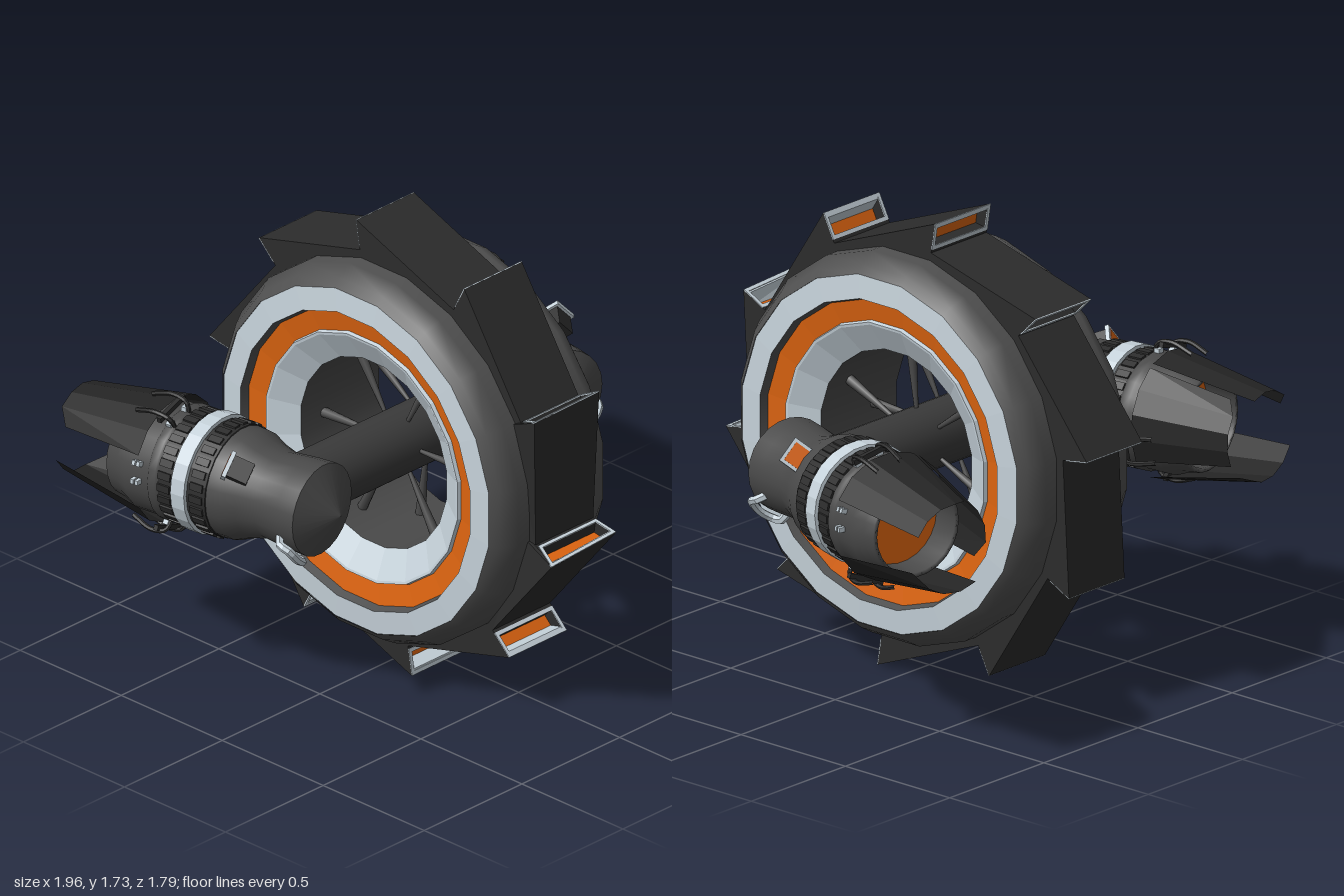
import * as THREE from 'three';

const material = (name, color, side = THREE.FrontSide) => {
  const m = new THREE.MeshStandardMaterial({ color, side });
  m.name = name;
  return m;
};

export function createModel() {
  const tyreGrey = material('tyre grey', 0x505050);
  const bodyGrey = material('body grey', 0x4a4a4a, THREE.DoubleSide);
  const black = material('armour black', 0x2c2c2c);
  const petalBlack = material('petal black', 0x242424, THREE.DoubleSide);
  const white = material('pale grey', 0xc6d2da);
  const orange = material('orange', 0xdc6410);
  black.flatShading = petalBlack.flatShading = white.flatShading = orange.flatShading = true;

  const model = new THREE.Group();
  const add = (parent, name, geometry, mat) => {
    const mesh = new THREE.Mesh(geometry, mat);
    mesh.name = name;
    parent.add(mesh);
    return mesh;
  };
  const group = (parent, name) => {
    const g = new THREE.Group();
    g.name = name;
    parent.add(g);
    return g;
  };
  const lathe = (points, segments) =>
    new THREE.LatheGeometry(points.map(([r, h]) => new THREE.Vector2(r, h)), segments);

  // ---- wheel: profiles are [radius, x], turned about the x axis ----
  const wheel = group(model, 'wheel');
  wheel.position.set(-0.025, 0.87, 0);
  const ring = (name, points, mat) =>
    add(wheel, name, lathe(points, 20).rotateZ(-Math.PI / 2).rotateX(Math.PI / 20), mat);

  ring('tyre', [[0.665, -0.29], [0.695, -0.265], [0.73, -0.205], [0.73, 0.205],
    [0.695, 0.265], [0.665, 0.29]], tyreGrey);
  ring('hubTunnel', [[0.365, 0.2], [0.365, -0.2]], bodyGrey);
  const faceRings = [
    ['outerRing', [[0.665, 0.288], [0.575, 0.295]], white],
    ['grooveRing', [[0.575, 0.295], [0.565, 0.262]], tyreGrey],
    ['orangeRing', [[0.565, 0.262], [0.485, 0.248]], orange],
    ['innerRing', [[0.485, 0.248], [0.48, 0.262], [0.47, 0.26], [0.365, 0.2]], white],
  ];
  for (const s of [1, -1]) {
    for (const [name, points, mat] of faceRings) {
      const p = points.map(([r, x]) => [r, s * x]);
      ring(name, s > 0 ? p : p.reverse(), mat);
    }
    // spokes, thicker at the rim
    for (let i = 0; i < 6; i++) {
      const spoke = add(wheel, 'spoke',
        new THREE.CylinderGeometry(0.02, 0.007, 0.27, 8).translate(0, 0.235, 0), bodyGrey);
      spoke.rotation.x = THREE.MathUtils.degToRad((s > 0 ? 6 : 28) + 60 * i);
      spoke.position.x = s * 0.08;
    }
  }

  // ---- ratchet teeth around the tread: u is along the rim, v is the radius ----
  const WIDTH = 0.295;
  const slab = (points, w0, w1) => {
    const shape = new THREE.Shape(points.map(([u, v]) => new THREE.Vector2(u, v)));
    return new THREE.ExtrudeGeometry(shape, { depth: w1 - w0, bevelEnabled: false }).translate(0, 0, w0);
  };
  const box = (w, h, d, x, y, z) => new THREE.BoxGeometry(w, h, d).translate(x, y, z);
  const wedge = [[-0.447, 0.615], [-0.41, 0.56], [0, 0.7], [0, 0.875]];
  const notched = [[-0.447, 0.615], [-0.41, 0.56], [0, 0.7], [0, 0.785],
    [-0.05, 0.785], [-0.05, 0.83], [0, 0.86], [0, 0.875]];
  for (let i = 0; i < 10; i++) {
    const tooth = group(wheel, 'tooth');
    const a = THREE.MathUtils.degToRad(27 + 36 * i), c = Math.cos(a), s = Math.sin(a);
    tooth.quaternion.setFromRotationMatrix(new THREE.Matrix4().makeBasis(
      new THREE.Vector3(0, c, -s), new THREE.Vector3(0, s, c), new THREE.Vector3(1, 0, 0)));
    const h = WIDTH / 2, e = h - 0.014;
    const parts = [
      ['toothCore', slab(notched, -e, e), black],
      ['toothSide', slab(wedge, -h, -e), black],
      ['toothSide', slab(wedge, e, h), black],
      ['intakeBack', box(0.006, 0.045, 2 * e, -0.047, 0.807, 0), orange],
      ['intakeFloor', slab([[-0.045, 0.827], [0, 0.854], [0, 0.86], [-0.045, 0.833]], -e, e), white],
      ['intakeFrame', box(0.004, 0.015, WIDTH, 0.001, 0.8675, 0), white],
      ['intakeFrame', box(0.004, 0.015, WIDTH, 0.001, 0.78, 0), white],
      ['intakeFrame', box(0.004, 0.1, 0.014, 0.001, 0.825, e + 0.007), white],
      ['intakeFrame', box(0.004, 0.1, 0.014, 0.001, 0.825, -e - 0.007), white],
    ];
    for (const [name, geometry, mat] of parts) {
      // two teeth have one outer corner pulled sideways
      if (i === 0 || i === 9) {
        const p = geometry.attributes.position;
        for (let k = 0; k < p.count; k++)
          if (p.getY(k) > 0.85 && p.getZ(k) < -0.12)
            p.setXYZ(k, p.getX(k), p.getY(k) + 0.02, p.getZ(k) - 0.055);
        geometry.computeVertexNormals();
      }
      add(tooth, name, geometry, mat);
    }
  }

  // ---- axle ----
  add(model, 'axle', new THREE.CylinderGeometry(0.12, 0.12, 1.2, 24).rotateZ(Math.PI / 2)
    .translate(-0.04, 0.87, 0), material('axle grey', 0x3a3a3a));

  // ---- engine pods: profiles are [radius, distance to the rear] ----
  const buildPod = (side, x, yaw) => {
    const pod = group(model, side > 0 ? 'leftPod' : 'rightPod');
    pod.position.set(x, 0.87, 0);
    pod.rotation.y = -side * yaw;
    const turn = (name, points, mat) =>
      add(pod, name, lathe(points, 24).rotateX(-Math.PI / 2), mat);
    // point at an angle (0 = outboard, 90 = up), radius and distance to the rear
    const at = (deg, r, s) => {
      const a = THREE.MathUtils.degToRad(deg);
      return new THREE.Vector3(side * r * Math.cos(a), r * Math.sin(a), -s);
    };
    const place = (mesh, deg, r, s) => {
      mesh.position.copy(at(deg, r, s));
      mesh.rotation.z = Math.atan2(mesh.position.y, mesh.position.x);
      return mesh;
    };
    const rod = (name, points, r, mat) => add(pod, name,
      new THREE.TubeGeometry(new THREE.CatmullRomCurve3(points), 14, r, 6), mat);

    turn('noseCap', [[0, -0.26], [0.175, -0.175]], bodyGrey);
    turn('podBody', [[0.175, -0.175], [0.172, -0.1], [0.162, 0.01], [0.18, 0.08], [0.205, 0.14], [0.208, 0.2]], bodyGrey);
    turn('ribbedDrum', [[0.2, 0.185], [0.211, 0.19], [0.211, 0.405], [0.2, 0.41]], black);
    turn('whiteBand', [[0.205, 0.27], [0.224, 0.273], [0.224, 0.333], [0.205, 0.336]], white);
    turn('rearHousing', [[0.211, 0.4], [0.218, 0.41], [0.218, 0.44], [0.208, 0.45], [0.21, 0.55], [0.19, 0.6],
      [0.182, 0.65], [0.165, 0.65], [0.165, 0.5]], bodyGrey);
    add(pod, 'burner', new THREE.CircleGeometry(0.166, 24).rotateY(Math.PI).translate(0, 0, -0.53), orange);
    for (let i = 0; i < 28; i++)
      for (const s of [0.229, 0.372])
        place(add(pod, 'rib', new THREE.BoxGeometry(0.014, 0.028, 0.055), black), i * 360 / 28, 0.21, s);

    // petals with their hinges
    for (const [deg, half, end] of [[75, 48, 0.9], [195, 45, 0.85], [-70, 45, 0.9]]) {
      const len = end - 0.48;
      const mid = side > 0 ? deg : 180 - deg;
      // the cylinder's own angle starts a quarter turn before the pod's angle
      const start = THREE.MathUtils.degToRad(mid + 90 - half);
      const petal = new THREE.CylinderGeometry(0.168, 0.24, len, 4, 1, true,
        start, THREE.MathUtils.degToRad(2 * half)).rotateX(-Math.PI / 2).translate(0, 0, -0.48 - len / 2);
      // slanted trailing edge
      const p = petal.attributes.position;
      for (let k = 0; k < p.count; k++)
        if (p.getZ(k) < -0.7 && k % 5 === 0) p.setZ(k, p.getZ(k) + 0.045);
      add(pod, 'petal', petal, petalBlack);
      for (const off of [-12, 12]) {
        rod('hingeArm', [at(deg + off, 0.2, 0.41), at(deg + off, 0.25, 0.42),
          at(deg + off, 0.265, 0.48), at(deg + off, 0.238, 0.57)], 0.009, black);
        place(add(pod, 'hingePin', new THREE.BoxGeometry(0.022, 0.026, 0.022), white), deg + off, 0.222, 0.425);
      }
      place(add(pod, 'hingeBar', new THREE.BoxGeometry(0.02, 0.15, 0.018), black), deg, 0.245, 0.45);
    }
    // small studs on the outboard gap
    for (const deg of [-1, 17])
      for (const s of [0.48, 0.5])
        place(add(pod, 'stud', new THREE.BoxGeometry(0.035, 0.018, 0.014), white), deg, 0.214, s);

    // scoop on the upper shoulder, its mouth tilted outwards
    const scoop = place(group(pod, 'scoop'), 43, 0.205, 0.1);
    scoop.rotation.order = 'ZYX';
    scoop.rotation.y = -0.55;
    add(scoop, 'scoopBody', box(0.07, 0.08, 0.08, 0, 0, 0.02), black);
    add(scoop, 'scoopFrame', box(0.09, 0.1, 0.016, 0, 0, -0.025), white);
    add(scoop, 'scoopGlow', box(0.066, 0.076, 0.006, 0, 0, -0.032), orange);

    // grab handle low on the nose
    rod('handle', [at(-25, 0.16, -0.1), at(-26, 0.195, -0.12), at(-30, 0.2, -0.155),
      at(-50, 0.2, -0.165), at(-66, 0.2, -0.15), at(-69, 0.195, -0.12), at(-70, 0.16, -0.1)], 0.016, white);
  };
  buildPod(1, 0.6, 0.26);
  buildPod(-1, -0.69, 0.12);

  return model;
}
